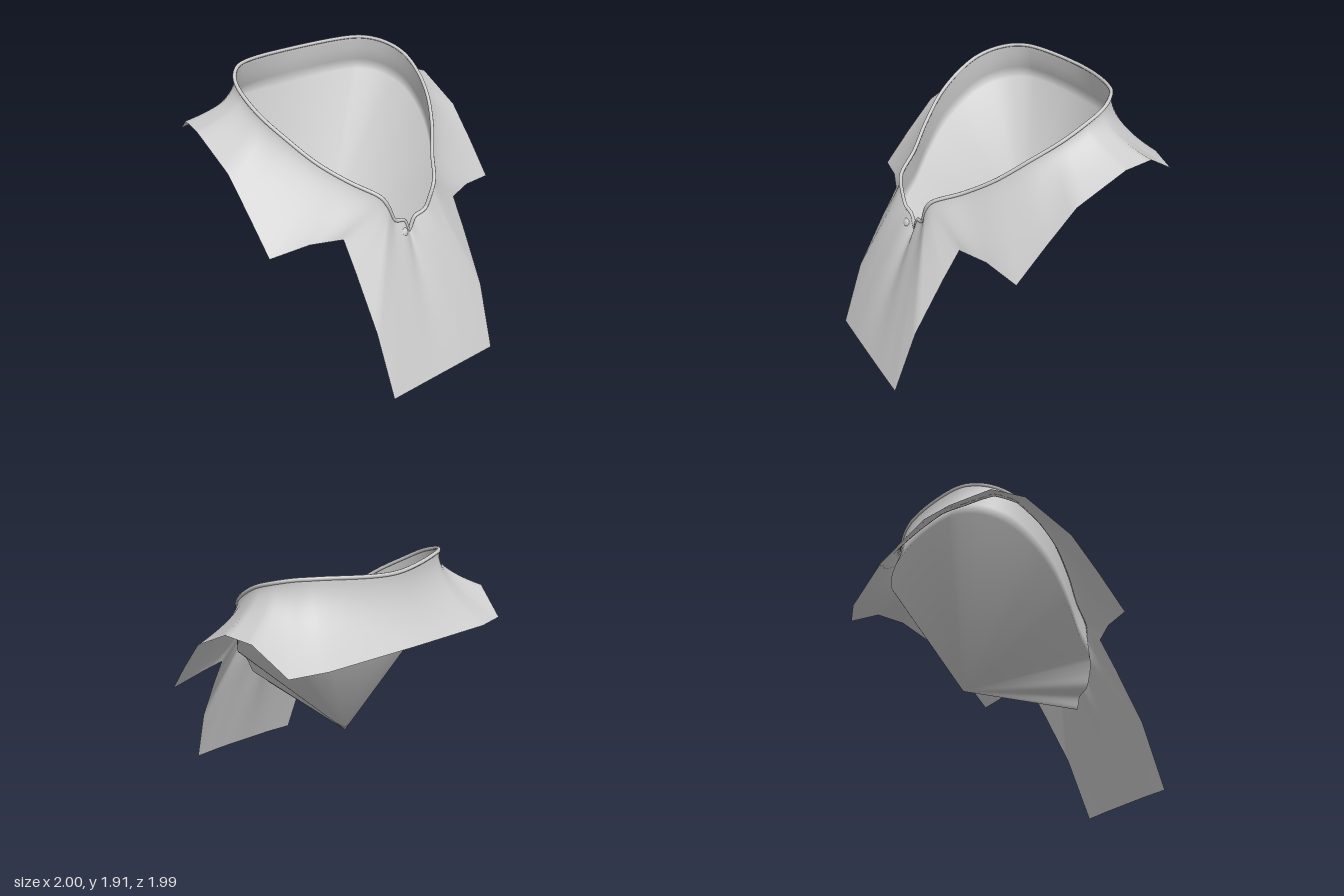
import * as THREE from 'three';
import { mergeVertices } from 'three/addons/utils/BufferGeometryUtils.js';

// Columns of the cloth from front centre round the left side to back centre:
// neckline point, hem point, flare (1 = straight, 2 = strongly curved)
const COLUMNS = [
  { rim: [0, 0.95, 0.565], hem: [0, 0.012, 0.985], flare: 0.87 },
  { rim: [0.045, 1.04, 0.565], hem: [0.23, 0.012, 0.985], flare: 0.87 },
  { rim: [0.13, 1.07, 0.57], hem: [0.455, 0.005, 0.98], flare: 0.87 },
  { rim: [0.18, 1.17, 0.57], hem: [0.475, 0.45, 0.815], flare: 0.95 },
  { rim: [0.205, 1.22, 0.565], hem: [0.485, 0.82, 0.6], flare: 1.1 },
  { rim: [0.235, 1.265, 0.54], hem: [0.49, 1.01, 0.48], flare: 1.4 },
  { rim: [0.36, 1.345, 0.38], hem: [0.7, 1.01, 0.4], flare: 1.4 },
  { rim: [0.5, 1.46, 0.22], hem: [0.968, 0.975, 0.34], flare: 1.4 },
  { rim: [0.62, 1.61, 0.03], hem: [0.98, 1.2, 0.14], flare: 1.5 },
  { rim: [0.685, 1.72, -0.15], hem: [0.99, 1.42, -0.07], flare: 1.7 },
  { rim: [0.7, 1.81, -0.32], hem: [1, 1.59, -0.42], flare: 1.9 },
  { rim: [0.67, 1.86, -0.46], hem: [0.965, 1.59, -0.65], flare: 2 },
  { rim: [0.6, 1.89, -0.57], hem: [0.885, 1.435, -0.895], flare: 2 },
  { rim: [0.49, 1.9, -0.66], hem: [0.65, 1.445, -0.965], flare: 2 },
  { rim: [0, 1.875, -0.785], hem: [0, 1.46, -1], flare: 2 },
];
const SUBDIVISIONS = 5;

// Full loop: the left half plus its mirror image
const flip = ([x, y, z]) => [-x, y, z];
const mirrored = COLUMNS.slice(1, -1).reverse()
  .map(({ rim, hem, flare }) => ({ rim: flip(rim), hem: flip(hem), flare }));
const LOOP = [...COLUMNS, ...mirrored];

// Skin a list of equally long closed rings; coinciding points share one smooth normal
function skin(rings) {
  const n = rings[0].length;
  const index = [];
  for (let r = 0; r < rings.length - 1; r++) {
    for (let i = 0; i < n; i++) {
      const a = r * n + i, b = r * n + ((i + 1) % n), c = a + n, d = b + n;
      index.push(a, c, b, b, c, d);
    }
  }
  const geometry = new THREE.BufferGeometry().setFromPoints(rings.flat());
  geometry.setIndex(index);
  const merged = mergeVertices(geometry);
  merged.computeVertexNormals();
  return merged;
}

// Ring between two rings: height moves evenly, the spread follows its own power
function between(from, to, s, power) {
  return from.map((p, i) => {
    const spread = Math.pow(s, power[i]);
    const q = to[i];
    return new THREE.Vector3(
      p.x + (q.x - p.x) * spread,
      p.y + (q.y - p.y) * s,
      p.z + (q.z - p.z) * spread);
  });
}

export function createModel() {
  const group = new THREE.Group();
  const cloth = new THREE.MeshStandardMaterial({ color: 0xcccccc, side: THREE.DoubleSide });
  cloth.name = 'light grey cloth';
  const add = (name, geometry) => {
    const mesh = new THREE.Mesh(geometry, cloth);
    mesh.name = name;
    group.add(mesh);
    return mesh;
  };

  // Smooth neckline, with a hem that stays straight between its corners
  const rimCurve = new THREE.CatmullRomCurve3(
    LOOP.map((c) => new THREE.Vector3(...c.rim)), true, 'centripetal');
  const count = LOOP.length * SUBDIVISIONS;
  const rim = [], hem = [], flare = [];
  for (let i = 0; i < count; i++) {
    const k = Math.floor(i / SUBDIVISIONS), f = (i % SUBDIVISIONS) / SUBDIVISIONS;
    const a = LOOP[k], b = LOOP[(k + 1) % LOOP.length];
    rim.push(rimCurve.getPoint(i / count));
    hem.push(new THREE.Vector3(...a.hem).lerp(new THREE.Vector3(...b.hem), f));
    flare.push(a.flare + (b.flare - a.flare) * f);
  }

  // Outer cloth: collar, shoulders, back and front panel flaring away from the neckline
  const outerRings = [];
  for (let r = 0; r <= 14; r++) outerRings.push(between(rim, hem, r / 14, flare));
  add('shirtBody', skin(outerRings));

  // Inner lining: steep band below the neckline, then a cone closing to a low point
  const lining = rim.map((p) => new THREE.Vector3(
    p.x * 1.05, p.y - 0.275, p.z * 1.055 - 0.06 * Math.abs(p.x)));
  const apex = new THREE.Vector3(0, 0.63, -0.34);
  const innerRings = [];
  for (let r = 0; r <= 3; r++) innerRings.push(between(rim, lining, r / 3, flare));
  innerRings.push(lining.map(() => apex));
  add('innerLining', skin(innerRings));

  // Rolled edge of the collar
  add('collarEdge', new THREE.TubeGeometry(rimCurve, 180, 0.013, 8, true));

  // Button beside the collar notch
  const button = add('button', new THREE.SphereGeometry(0.032, 20, 12));
  button.scale.z = 0.6;
  button.position.set(-0.07, 0.97, 0.595);
  button.rotation.x = -0.35;

  return group;
}
